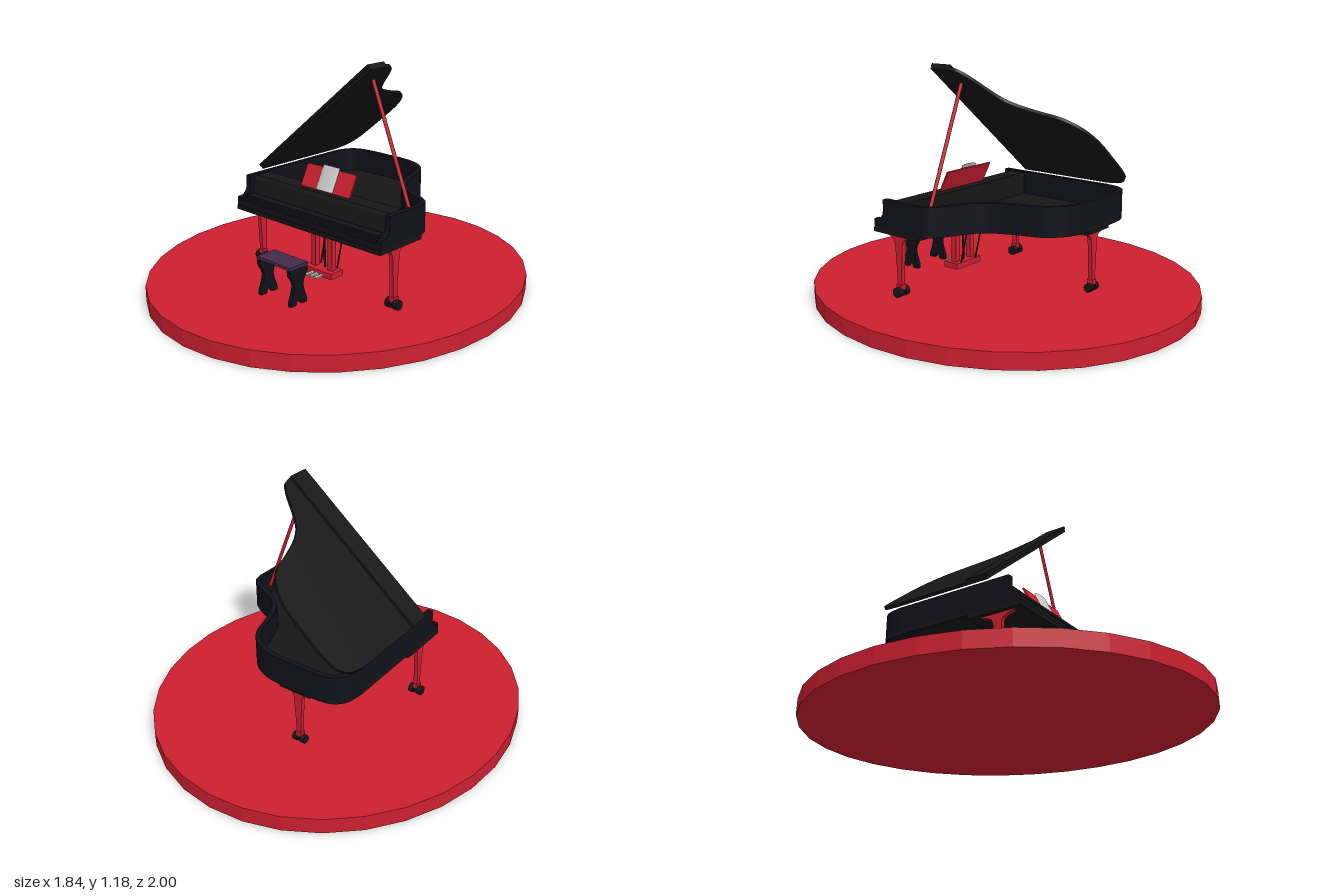
import * as THREE from 'three';

const mat = (color, opts = {}) => new THREE.MeshStandardMaterial({ color, ...opts });
const RED = mat(0xcc1f30);
const BLACK = mat(0x161616);
const CASE = mat(0x11121a);
const PURPLE = mat(0x452a4a);
const METAL = mat(0xcccccc);
const PAPER = mat(0xdddddd, { side: THREE.DoubleSide });

export function createModel() {
  const root = new THREE.Group();

  function add(name, geometry, material, parent = root) {
    const mesh = new THREE.Mesh(geometry, material);
    mesh.name = name;
    parent.add(mesh);
    return mesh;
  }
  // Box given by its limits on each axis
  function box(name, [x0, x1], [y0, y1], [z0, z1], material, parent) {
    const g = new THREE.BoxGeometry(x1 - x0, y1 - y0, z1 - z0);
    g.translate((x0 + x1) / 2, (y0 + y1) / 2, (z0 + z1) / 2);
    return add(name, g, material, parent);
  }
  // Round bar between two points
  function bar(name, a, b, r, material) {
    const p = new THREE.Vector3(...a), q = new THREE.Vector3(...b);
    const m = add(name, new THREE.CylinderGeometry(r, r, p.distanceTo(q), 8), material);
    m.position.copy(p).lerp(q, 0.5);
    m.quaternion.setFromUnitVectors(new THREE.Vector3(0, 1, 0), q.sub(p).normalize());
    return m;
  }
  const toShape = (pts) => new THREE.Shape(pts.map(([a, b]) => new THREE.Vector2(a, b)));
  // Upright board: profile in (z, y), thickness along x
  function board(pts, thickness) {
    const g = new THREE.ExtrudeGeometry(toShape(pts), { depth: thickness, bevelEnabled: false });
    return g.translate(0, 0, -thickness / 2).rotateY(-Math.PI / 2);
  }
  // Flat slab: outline in (x, z), thickness along y
  function slab(pts, y0, y1) {
    const g = new THREE.ExtrudeGeometry(toShape(pts.map(([x, z]) => [x, -z])),
      { depth: y1 - y0, bevelEnabled: false });
    return g.rotateX(-Math.PI / 2).translate(0, y0, 0);
  }
  const mirrored = (half) => [...half, ...half.map(([a, y]) => [-a, y]).reverse()];

  // Round stage
  const stage = add('stage', new THREE.CylinderGeometry(1, 1, 0.08, 32), RED);
  stage.material = mat(0xcc1f30, { flatShading: true });
  stage.scale.x = 0.92;
  stage.position.y = 0.04;

  // Curved outline shared by case and lid, running left, back, right
  const bend = new THREE.CatmullRomCurve3([
    [-0.38, -0.36], [-0.362, -0.44], [-0.32, -0.487], [-0.25, -0.505], [-0.1, -0.507],
    [0, -0.505], [0.08, -0.49], [0.15, -0.455], [0.21, -0.39], [0.245, -0.29],
    [0.285, -0.19], [0.33, -0.125], [0.4, -0.08], [0.5, -0.03], [0.55, 0.01], [0.565, 0.06],
  ].map(([x, z]) => new THREE.Vector3(x, 0, z))).getPoints(60).map((p) => [p.x, p.z]);
  const outline = (front) => [[-0.38, front], ...bend, [0.565, front]];
  const outer = outline(0.17);
  const inner = outer.map(([x, z], i) => {
    const a = outer[Math.max(i - 1, 0)], b = outer[Math.min(i + 1, outer.length - 1)];
    const dx = b[0] - a[0], dz = b[1] - a[1], len = Math.hypot(dx, dz);
    return [x - dz / len * 0.025, z + dx / len * 0.025];
  });

  // Case
  const body = new THREE.Group();
  body.name = 'case';
  root.add(body);
  add('rim', slab([...outer, ...inner.reverse()], 0.405, 0.55), CASE, body);
  add('soundboard', slab(outline(0.17), 0.406, 0.43), BLACK, body);
  box('keybed', [-0.38, 0.565], [0.385, 0.406], [0.055, 0.345], BLACK, body);
  const cheek = [[0.17, 0.405], [0.34, 0.405], [0.34, 0.45], [0.305, 0.453],
    [0.285, 0.475], [0.28, 0.5], [0.28, 0.55], [0.17, 0.55]];
  for (const x of [-0.365, 0.55]) {
    add('cheek', board(cheek, 0.03), CASE, body).position.x = x;
  }
  // Closed key cover, its rail and the slip in front of it
  const cover = [[0.15, 0.405], [0.325, 0.405], [0.325, 0.445], [0.265, 0.455],
    [0.25, 0.53], [0.235, 0.545], [0.15, 0.545]];
  add('keyCover', board(cover, 0.89), BLACK, body).position.x = 0.0925;
  box('coverRail', [-0.34, 0.525], [0.445, 0.46], [0.27, 0.315], CASE, body);
  box('keySlip', [-0.35, 0.535], [0.405, 0.435], [0.325, 0.34], CASE, body);

  // Raised lid with the front flap folded back on top
  const lid = new THREE.Group();
  lid.name = 'lid';
  lid.position.set(-0.385, 0.555, 0);
  lid.rotation.z = 0.687;
  root.add(lid);
  add('lidPanel', slab(outline(0.165).map(([x, z]) => [x + 0.38, z]), 0, 0.015), BLACK, lid);
  box('lidFlap', [0, 0.945], [0.015, 0.029], [0.055, 0.17], BLACK, lid);
  bar('lidProp', [0.485, 0.52, 0.05], [0.26, 1.085, 0.05], 0.009, RED);

  // Music desk leaning back, with a curved sheet
  const desk = new THREE.Group();
  desk.name = 'musicDesk';
  desk.position.set(0.095, 0.545, 0.205);
  desk.rotation.x = -0.46;
  root.add(desk);
  box('deskPanel', [-0.16, 0.16], [0, 0.115], [-0.008, 0], RED, desk);
  const sheet = add('sheet', new THREE.CylinderGeometry(0.053, 0.053, 0.125, 16, 1, true,
    -Math.PI / 2, Math.PI), PAPER, desk);
  sheet.scale.z = 0.25;
  sheet.position.set(-0.002, 0.063, 0.001);

  // Legs: flat flared boards on twin casters
  const legProfile = mirrored([[0.013, 0.12], [0.015, 0.2], [0.024, 0.34], [0.032, 0.36],
    [0.055, 0.372], [0.088, 0.38], [0.088, 0.39]]);
  function leg(name, x, z, turn, r) {
    const g = new THREE.Group();
    g.name = name;
    g.position.set(x, 0, z);
    root.add(g);
    add('legBoard', board(legProfile, 0.022), RED, g).rotation.y = turn;
    box('ankle', [-0.016, 0.016], [0.115, 0.14], [-0.016, 0.016], RED, g);
    box('casterFork', [-0.012, 0.012], [0.095, 0.122], [-0.012, 0.012], BLACK, g);
    for (const s of [-1, 1]) {
      const wheel = new THREE.CylinderGeometry(r, r, 0.026, 14).rotateZ(Math.PI / 2);
      add('casterWheel', wheel, BLACK, g).position.set(s * 0.022, 0.08 + r, 0);
    }
  }
  leg('frontRightLeg', -0.35, 0.205, 0, 0.024);
  leg('frontLeftLeg', 0.53, 0.205, 0, 0.024);
  leg('tailLeg', -0.102, -0.46, Math.PI / 2, 0.021);
  box('tailLegPlate', [-0.19, -0.012], [0.385, 0.408], [-0.495, -0.425], BLACK);

  // Pedal lyre
  for (const x of [0.033, 0.143]) {
    box('lyrePost', [x - 0.014, x + 0.014], [0.15, 0.39], [0.19, 0.22], RED);
    bar('lyreBrace', [x, 0.15, 0.17], [x, 0.39, 0.11], 0.004, BLACK);
  }
  box('lyreBase', [-0.005, 0.178], [0.128, 0.158], [0.165, 0.25], RED);
  for (const x of [0.06, 0.09, 0.12]) {
    box('pedal', [x - 0.008, x + 0.008], [0.136, 0.143], [0.25, 0.3], METAL);
  }
  bar('pedalRod', [0.09, 0.15, 0.2], [0.09, 0.39, 0.2], 0.005, BLACK);

  // Bench
  const side = mirrored([[0.02, 0.085], [0.052, 0.085], [0.052, 0.105], [0.035, 0.15],
    [0.028, 0.18], [0.035, 0.205], [0.055, 0.235], [0.057, 0.268]]);
  side.push([-0.008, 0.105], [0.008, 0.105]);
  for (const x of [-0.018, 0.183]) {
    add('benchSide', board(side, 0.02), CASE).position.set(x, 0, 0.478);
  }
  box('benchSeat', [-0.03, 0.195], [0.266, 0.28], [0.42, 0.535], PURPLE);

  return root;
}
